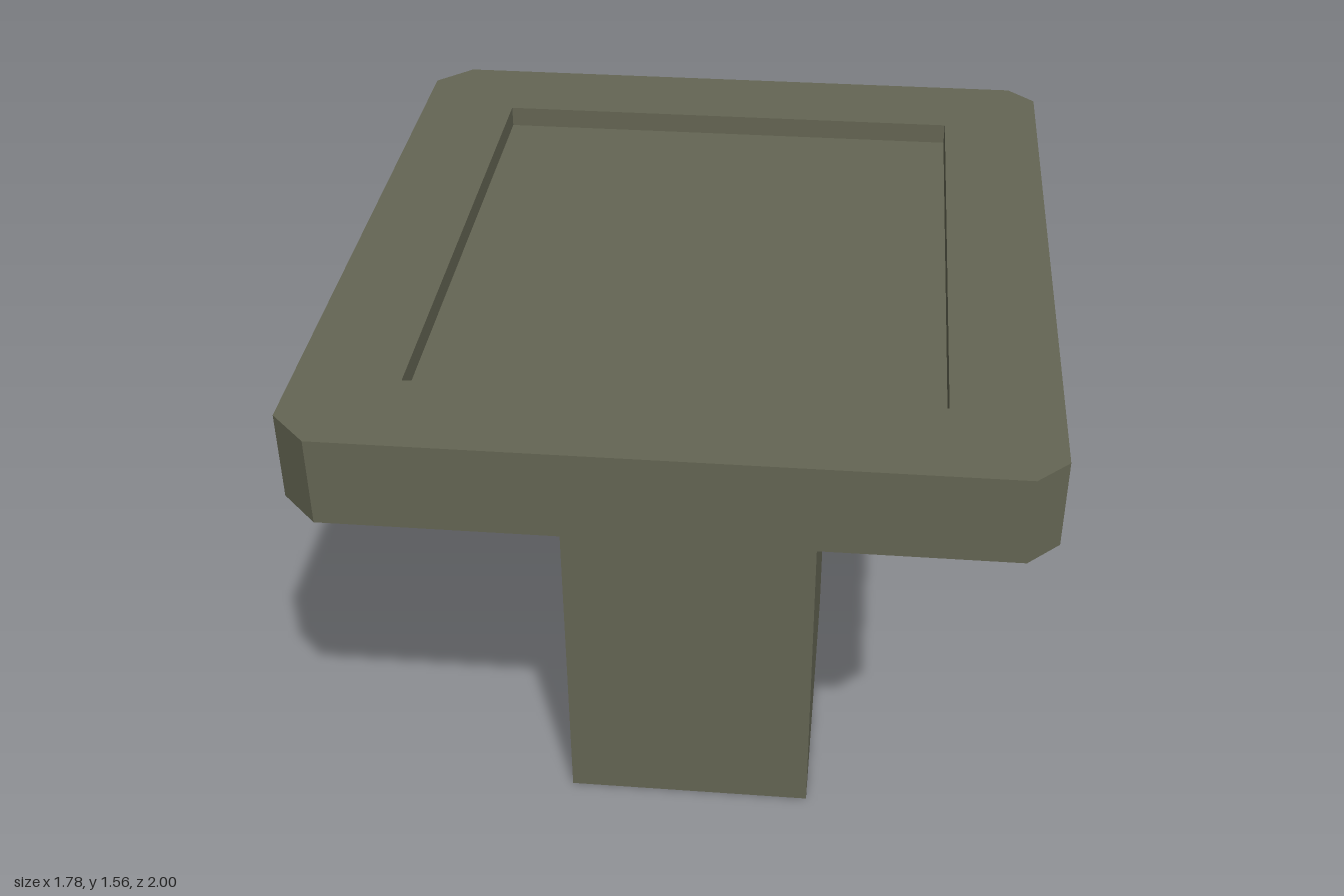
import * as THREE from 'three';

const STEM_TOP = 1.333, TOP = 1.558, RECESS = 0.055;

export function createModel() {
  const group = new THREE.Group();
  const olive = new THREE.MeshStandardMaterial({ color: 0x656654 });
  olive.name = 'olive grey';

  const add = (name, geometry, x, y, z) => {
    const mesh = new THREE.Mesh(geometry, olive);
    mesh.name = name;
    mesh.position.set(x, y, z);
    group.add(mesh);
  };
  const outline = (points) => points.map(([x, z]) => new THREE.Vector2(x, z));

  // Rectangular stem
  add('stem', new THREE.BoxGeometry(0.676, STEM_TOP, 0.894), 0, STEM_TOP / 2, 0);

  // Slab with slightly uneven cut corners, drawn in x and z, open in the middle
  const slab = new THREE.Shape(outline([
    [-0.80, -1], [0.82, -1], [0.892, -0.93], [0.892, 0.925],
    [0.815, 1], [-0.80, 1], [-0.892, 0.905], [-0.892, -0.91],
  ]));
  const x0 = -0.634, x1 = 0.63, z0 = -0.742, z1 = 0.735;
  slab.holes.push(new THREE.Path(outline([[x0, z0], [x0, z1], [x1, z1], [x1, z0]])));
  const rim = new THREE.ExtrudeGeometry(slab, { depth: TOP - STEM_TOP, bevelEnabled: false });
  rim.rotateX(Math.PI / 2);
  add('slabRim', rim, 0, TOP, 0);

  // Sunken floor filling the opening
  const h = TOP - RECESS - STEM_TOP;
  add('recessFloor', new THREE.BoxGeometry(x1 - x0, h, z1 - z0),
    (x0 + x1) / 2, STEM_TOP + h / 2, (z0 + z1) / 2);

  return group;
}
